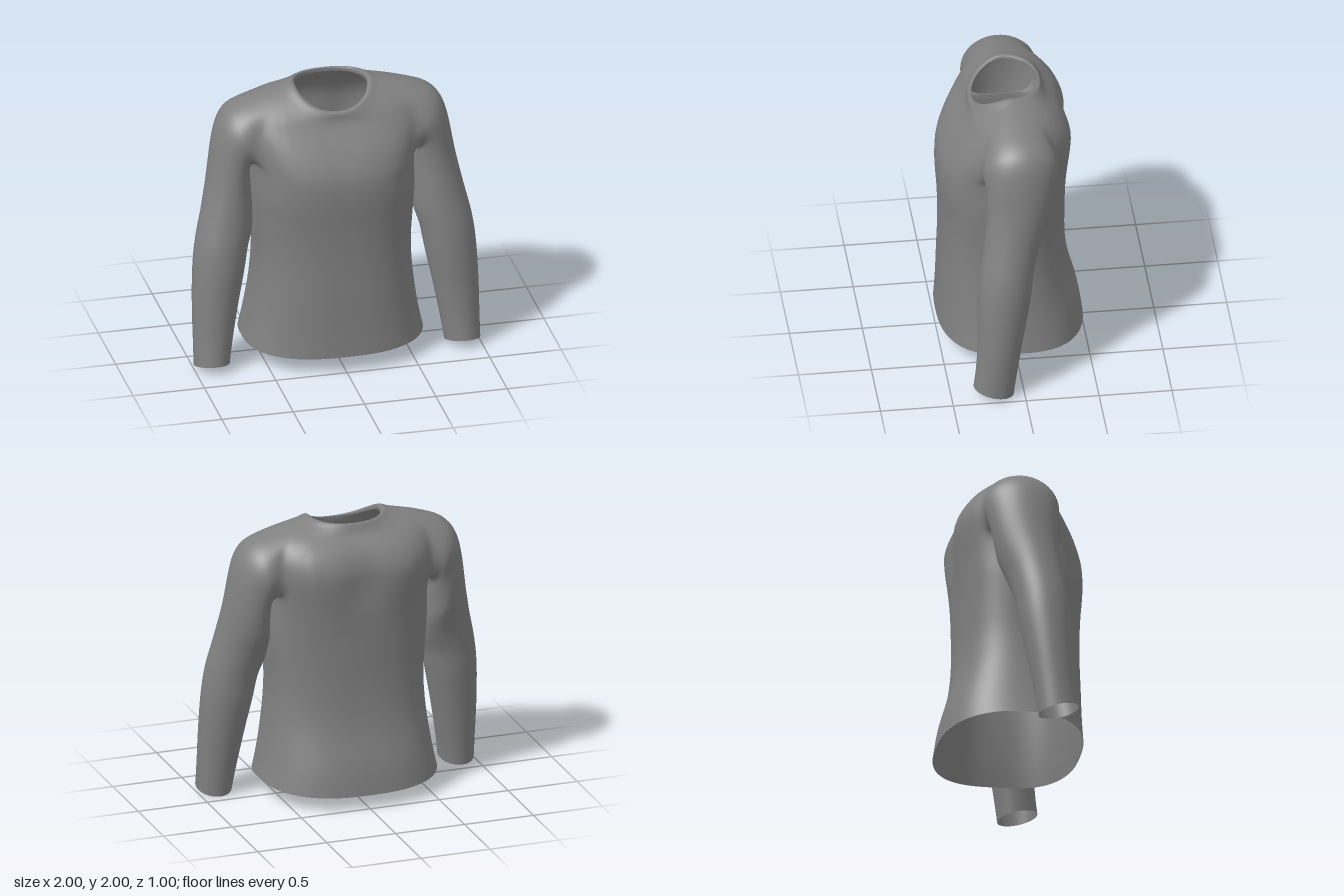
import * as THREE from 'three';

const COLS = 48, SUB = 3;          // half-ring columns (back to front), steps between rings
const ARM_C = [16, 32];            // armhole columns
const ARM_R = [7 * SUB, 11 * SUB]; // armhole rows

// Torso rings: side y, front y, back y, half width, front z, back z, squareness
const TORSO = [
  [0.135, 0.12, 0.10, 0.625, 0.50, -0.50, 2.5],
  [0.30, 0.30, 0.29, 0.59, 0.49, -0.47, 2.5],
  [0.55, 0.55, 0.55, 0.555, 0.483, -0.40, 2.5],
  [0.80, 0.80, 0.80, 0.54, 0.475, -0.375, 2.5],
  [1.05, 1.05, 1.05, 0.555, 0.48, -0.375, 2.5],
  [1.25, 1.25, 1.25, 0.565, 0.493, -0.38, 2.6],
  [1.42, 1.40, 1.42, 0.56, 0.488, -0.397, 2.7],
  [1.50, 1.50, 1.55, 0.56, 0.46, -0.41, 2.9],
  [1.63, 1.60, 1.67, 0.575, 0.41, -0.41, 3.1],
  [1.76, 1.68, 1.76, 0.585, 0.36, -0.38, 3.1],
  [1.86, 1.745, 1.83, 0.575, 0.318, -0.335, 2.9],
  [1.93, 1.79, 1.88, 0.54, 0.292, -0.285, 2.7],
  [1.96, 1.818, 1.915, 0.43, 0.282, -0.25, 2.5],
  [1.98, 1.842, 1.95, 0.33, 0.278, -0.23, 2.3],
  [2.00, 1.862, 1.98, 0.275, 0.27, -0.215, 2.2],
  [1.99, 1.868, 1.98, 0.25, 0.25, -0.20, 2.2],
  [1.96, 1.85, 1.955, 0.25, 0.25, -0.20, 2.2],
];

// Sleeve rings: outer x, y, inner x, y, front z, back z, forward tilt
const SLEEVE = [
  [0.68, 1.885, 0.575, 1.44, 0.255, -0.28, 0],
  [0.78, 1.79, 0.57, 1.37, 0.24, -0.25, 0],
  [0.828, 1.62, 0.565, 1.28, 0.232, -0.225, 0],
  [0.86, 1.42, 0.56, 1.15, 0.24, -0.195, 0],
  [0.91, 1.17, 0.568, 1.00, 0.262, -0.12, 0],
  [0.965, 0.93, 0.605, 0.87, 0.29, -0.075, 0],
  [0.99, 0.72, 0.635, 0.70, 0.305, -0.05, 0],
  [1.00, 0.45, 0.685, 0.45, 0.31, 0.00, 0.01],
  [1.00, 0.20, 0.73, 0.20, 0.325, 0.045, 0.025],
  [1.00, 0.035, 0.755, 0.035, 0.345, 0.07, 0.033],
];

// Smooth interpolation through a list of equally long number rows
function refine(rows, sub) {
  const out = [], at = (i) => rows[Math.min(Math.max(i, 0), rows.length - 1)];
  for (let i = 0; i < rows.length - 1; i++) {
    for (let s = 0; s < sub; s++) {
      const t = s / sub;
      out.push(at(i).map((b, n) => {
        const a = at(i - 1)[n], c = at(i + 1)[n], d = at(i + 2)[n];
        return b + 0.5 * t * (c - a + t * (2 * a - 5 * b + 4 * c - d + t * (3 * (b - c) + d - a)));
      }));
    }
  }
  out.push(at(rows.length - 1));
  return out;
}

function torsoPoint([yS, yF, yB, w, zF, zB, p], j) {
  const a = (j / COLS - 0.5) * Math.PI;
  const x = j % COLS === 0 ? 0 : w * Math.pow(Math.cos(a), 2 / p);
  const s = Math.pow(Math.abs(Math.sin(a)), 2 / p);
  const mid = 0.02, front = a > 0;
  const y = yS + ((front ? yF : yB) - yS) * Math.pow(s, 1.5);
  let z = mid + ((front ? zF : zB) - mid) * s;
  // hollow between the shoulder blades
  if (!front) z += 0.035 * Math.exp(-((x / 0.14) ** 2) - ((y - 1.6) / 0.2) ** 2);
  return [x, y, z];
}

// Half shirt (x >= 0) with a welded sleeve
function buildHalf() {
  const verts = [], torso = [], sleeve = [];
  const rings = refine(TORSO, SUB), id = (i, j) => i * (COLS + 1) + j;
  for (const r of rings) for (let j = 0; j <= COLS; j++) verts.push(torsoPoint(r, j));
  for (let i = 0; i < rings.length - 1; i++) {
    for (let j = 0; j < COLS; j++) {
      if (i >= ARM_R[0] && i < ARM_R[1] && j >= ARM_C[0] && j < ARM_C[1]) continue;
      const a = id(i, j), b = id(i, j + 1), c = id(i + 1, j + 1), d = id(i + 1, j);
      torso.push(a, d, b, b, d, c);
    }
  }
  // armhole loop: over the top to the front, down, under and up the back
  const loop = [], [r0, r1] = ARM_R, [c0, c1] = ARM_C, mid = (c0 + c1) / 2;
  for (let j = mid; j < c1; j++) loop.push(id(r1, j));
  for (let i = r1; i > r0; i--) loop.push(id(i, c1));
  for (let j = c1; j > c0; j--) loop.push(id(r0, j));
  for (let i = r0; i < r1; i++) loop.push(id(i, c0));
  for (let j = c0; j < mid; j++) loop.push(id(r1, j));
  const n = loop.length;

  const keys = [loop.flatMap((v) => verts[v])];
  for (const [ox, oy, ix, iy, zF, zB, tilt] of SLEEVE) {
    const ring = [];
    for (let m = 0; m < n; m++) {
      const c = Math.cos(m / n * Math.PI * 2), s = Math.sin(m / n * Math.PI * 2);
      ring.push((ox + ix + (ox - ix) * c) / 2, (oy + iy + (oy - iy) * c) / 2 + tilt * s,
        (zF + zB + (zF - zB) * s) / 2);
    }
    keys.push(ring);
  }
  let prev = loop;
  for (const ring of refine(keys, 4).slice(1)) {
    const next = loop.map((_, m) => verts.push(ring.slice(m * 3, m * 3 + 3)) - 1);
    for (let m = 0; m < n; m++) {
      const k = (m + 1) % n;
      sleeve.push(prev[m], prev[k], next[m], prev[k], next[k], next[m]);
    }
    prev = next;
  }
  return { verts, torso, sleeve };
}

// Relax the cloth where sleeve and body meet
function relax(verts, index, rounds) {
  const near = verts.map(() => new Set());
  for (let i = 0; i < index.length; i += 3) {
    for (let e = 0; e < 3; e++) {
      const a = index[i + e], b = index[i + (e + 1) % 3];
      near[a].add(b);
      near[b].add(a);
    }
  }
  for (let r = 0; r < rounds; r++) {
    const old = verts.map((v) => v.slice());
    verts.forEach((v, i) => {
      if (!near[i].size || old[i][0] < 0.38 || old[i][1] < 1.25) return;
      for (let c = 0; c < 3; c++) {
        let sum = 0;
        for (const k of near[i]) sum += old[k][c];
        v[c] += 0.5 * (sum / near[i].size - v[c]);
      }
    });
  }
}

export function createModel() {
  const { verts, torso, sleeve } = buildHalf();
  relax(verts, [...torso, ...sleeve], 6);

  const half = new THREE.BufferGeometry();
  half.setAttribute('position', new THREE.Float32BufferAttribute(verts.flat(), 3));
  half.setIndex([...torso, ...sleeve]);
  half.computeVertexNormals();

  // mirror to both sides, with matching normals along the centre line
  const pos = [], nor = [], normals = half.attributes.normal, v = new THREE.Vector3();
  for (const side of [1, -1]) {
    verts.forEach(([x, y, z], i) => {
      v.fromBufferAttribute(normals, i);
      if (x === 0) v.setX(0).normalize();
      pos.push(side * x, y, z);
      nor.push(side * v.x, v.y, v.z);
    });
  }
  const position = new THREE.Float32BufferAttribute(pos, 3);
  const normal = new THREE.Float32BufferAttribute(nor, 3);
  const mirrored = (index) => index.map((k) => k + verts.length).reverse();

  const cloth = new THREE.MeshStandardMaterial({ color: 0x808080, side: THREE.DoubleSide });
  cloth.name = 'greyCloth';
  const group = new THREE.Group();
  group.name = 'longSleeveShirt';
  const parts = {
    torso: [...torso, ...mirrored(torso)],
    leftSleeve: sleeve,
    rightSleeve: mirrored(sleeve),
  };
  for (const [name, index] of Object.entries(parts)) {
    const geometry = new THREE.BufferGeometry();
    geometry.setAttribute('position', position);
    geometry.setAttribute('normal', normal);
    geometry.setIndex(index);
    const mesh = new THREE.Mesh(geometry, cloth);
    mesh.name = name;
    group.add(mesh);
  }
  return group;
}
